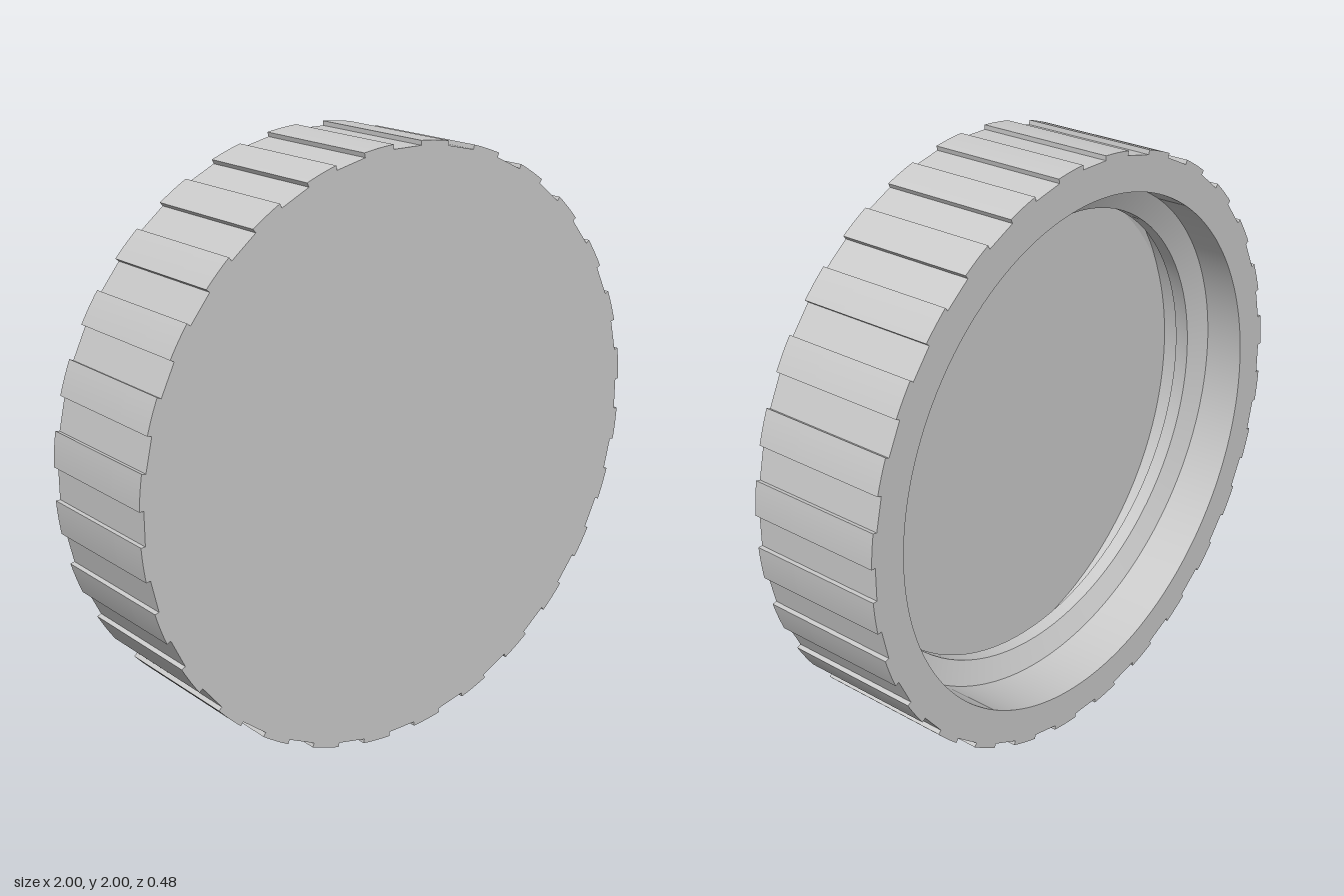
import * as THREE from 'three';
import { toCreasedNormals } from 'three/addons/utils/BufferGeometryUtils.js';

const BACK = -0.24, FRONT = 0.24, FLOOR = 0.09; // open end, closed end, inner floor
const R = 1.001, BORE = 0.87, GRIPS = 28;

// Round outline with flat-bottomed, straight-sided grip notches
function gripOutline() {
  const step = (Math.PI * 2) / GRIPS, half = 0.055, inner = R - 0.015;
  const innerHalf = Math.asin((R * Math.sin(half)) / inner);
  const pts = [];
  const add = (r, a) => pts.push(new THREE.Vector2(r * Math.cos(a), r * Math.sin(a)));
  for (let i = 0; i < GRIPS; i++) {
    const a0 = i * step + half, a1 = (i + 1) * step - half;
    add(inner, i * step + innerHalf);
    for (let k = 0; k <= 6; k++) add(R, a0 + ((a1 - a0) * k) / 6);
    add(inner, (i + 1) * step - innerHalf);
  }
  return new THREE.Shape(pts);
}

function extrude(shape, z0, z1) {
  const geo = new THREE.ExtrudeGeometry(shape, { depth: z1 - z0, bevelEnabled: false, curveSegments: 96 });
  geo.translate(0, 0, z0);
  return toCreasedNormals(geo, 0.4);
}

// Trapezoid section swept along a helix inside the bore, sinking into the floor
function threadGeometry() {
  const section = [[BORE + 0.005, 0], [0.79, 0.035], [0.79, 0.085], [BORE + 0.005, 0.12]];
  const turns = 1.5, pitch = 0.2, start = BACK + 0.04, n = 150;
  const pos = [], idx = [];
  for (let i = 0; i <= n; i++) {
    const t = (turns * i) / n, a = t * Math.PI * 2;
    for (const [r, d] of section) pos.push(r * Math.cos(a), r * Math.sin(a), start + pitch * t + d);
    if (i === n) break;
    for (let j = 0; j < 3; j++) {
      const p = i * 4 + j;
      idx.push(p, p + 1, p + 4, p + 1, p + 5, p + 4);
    }
  }
  const e = n * 4;
  idx.push(0, 2, 1, 0, 3, 2, e, e + 1, e + 2, e, e + 2, e + 3);
  const geo = new THREE.BufferGeometry();
  geo.setAttribute('position', new THREE.Float32BufferAttribute(pos, 3));
  geo.setIndex(idx);
  return toCreasedNormals(geo, 0.4);
}

export function createModel() {
  const group = new THREE.Group();
  group.name = 'screwCap';
  const material = new THREE.MeshStandardMaterial({ color: 0xcccccc });
  const add = (name, geo) => {
    const mesh = new THREE.Mesh(geo, material);
    mesh.name = name;
    mesh.position.y = 1;
    group.add(mesh);
  };

  // Notched side wall with a round bore
  const wall = gripOutline();
  wall.holes.push(new THREE.Path().absarc(0, 0, BORE, 0, Math.PI * 2, true));
  add('gripWall', extrude(wall, BACK, FLOOR));

  // Closed end
  add('endPlate', extrude(gripOutline(), FLOOR, FRONT));

  // Internal screw thread
  add('thread', threadGeometry());

  return group;
}
